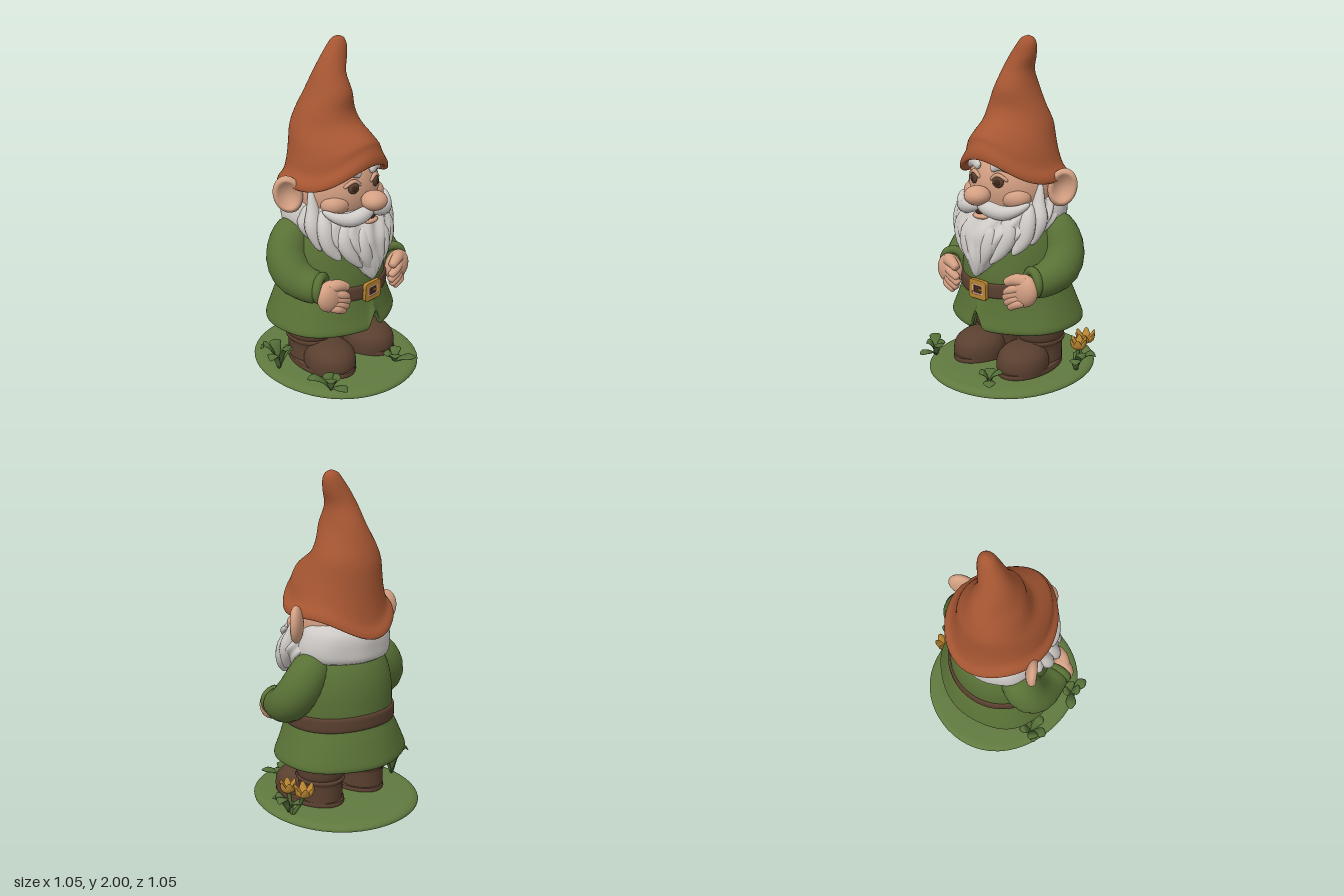
import * as THREE from 'three';

const mat = (name, color, side = THREE.FrontSide) => {
  const m = new THREE.MeshStandardMaterial({ color, side });
  m.name = name;
  return m;
};

// Catmull-Rom interpolation through rows of numbers
function spline(rows, t) {
  const f = t * (rows.length - 1), i = Math.min(Math.floor(f), rows.length - 2), u = f - i;
  const at = k => rows[Math.max(0, Math.min(rows.length - 1, k))];
  return rows[i].map((_, k) => {
    const a = at(i - 1)[k], b = at(i)[k], c = at(i + 1)[k], d = at(i + 2)[k];
    return b + 0.5 * u * (c - a + u * (2 * a - 5 * b + 4 * c - d + u * (3 * (b - c) + d - a)));
  });
}

// Surface of closed rings: fn(t, angle) gives each point
function ringSurface(nt, na, fn) {
  const pos = [], idx = [];
  for (let i = 0; i <= nt; i++)
    for (let j = 0; j < na; j++) pos.push(...fn(i / nt, (j / na) * Math.PI * 2));
  for (let i = 0; i < nt; i++)
    for (let j = 0; j < na; j++) {
      const k = (j + 1) % na, a = i * na + j, b = i * na + k, c = a + na, d = b + na;
      idx.push(a, b, d, a, d, c);
    }
  const g = new THREE.BufferGeometry();
  g.setAttribute('position', new THREE.Float32BufferAttribute(pos, 3));
  g.setIndex(idx);
  g.computeVertexNormals();
  return g;
}

// Rows: y, centre x, centre z, radius x, radius z, front tilt. warp gives [radius factor, y shift]
function loft(rows, warp = () => [1, 0], na = 56) {
  return ringSurface((rows.length - 1) * 4, na, (t, a) => {
    const [y, cx, cz, rx, rz, tilt = 0] = spline(rows, t), c = Math.cos(a);
    const [f, dy] = warp(a, y), lift = 0.05 - 0.15 * c + 0.08 * c * c + 1.2 * c ** 3;
    return [cx + Math.sin(a) * Math.max(rx, 0) * f, y + tilt * lift + dy, cz + c * Math.max(rz, 0) * f];
  });
}

// Round-ended tube. Rows: x, y, z, radius; flat thins it along the up direction
function taper(rows, flat = 1, up = [0, 0, 1], na = 14) {
  const ref = new THREE.Vector3(...up);
  return ringSurface(18, na, (s, a) => {
    const t = (1 - Math.cos(Math.PI * s)) / 2, e = Math.min(1, Math.min(t, 1 - t) / 0.12);
    const [x, y, z, r0] = spline(rows, t), r = Math.max(r0, 0) * Math.sqrt(1 - (1 - e) ** 2);
    const q = spline(rows, Math.min(1, t + 0.01)), p = spline(rows, Math.max(0, t - 0.01));
    const T = new THREE.Vector3(q[0] - p[0], q[1] - p[1], q[2] - p[2]).normalize();
    const N = ref.clone().addScaledVector(T, -ref.dot(T)).normalize();
    const B = new THREE.Vector3().crossVectors(T, N);
    return new THREE.Vector3(x, y, z).addScaledVector(B, Math.sin(a) * r).addScaledVector(N, Math.cos(a) * r * flat).toArray();
  });
}

export function createModel() {
  const M = {
    hat: mat('hat rust', 0xa65632, THREE.DoubleSide), coat: mat('coat green', 0x597136), grass: mat('grass green', 0x60793f),
    leaf: mat('leaf green', 0x546f38), skin: mat('skin', 0xd4a083), hair: mat('hair white', 0xd0ccc8),
    brown: mat('boot brown', 0x593f2f), gold: mat('gold yellow', 0xb78430), dark: mat('dark brown', 0x3f271c),
    soil: mat('underside olive', 0x5c7218),
  };
  const root = new THREE.Group();
  const add = (name, geo, m, parent = root) => {
    const mesh = new THREE.Mesh(geo, m);
    mesh.name = name;
    parent.add(mesh);
    return mesh;
  };
  const group = (name, x = 0, y = 0, z = 0) => {
    const g = new THREE.Group();
    g.name = name;
    g.position.set(x, y, z);
    root.add(g);
    return g;
  };
  const ball = (name, m, p, r, parent) => {
    const b = add(name, new THREE.SphereGeometry(1, 28, 18), m, parent);
    b.position.set(...p);
    b.scale.set(...r);
    return b;
  };
  const flip = (s, rows) => rows.map(([x, ...rest]) => [s * x, ...rest]);

  // Ground
  add('ground', loft([[0, -0.01, 0, 0.48, 0.525], [0.012, -0.01, 0, 0.48, 0.525], [0.028, -0.01, 0, 0.462, 0.51],
    [0.038, -0.01, 0, 0.41, 0.46], [0.045, -0.01, 0, 0.2, 0.2], [0.045, -0.01, 0, 0, 0]],
  a => [1.01 - 0.01 * Math.cos(4 * a), 0]), M.grass);
  const under = add('groundUnderside', new THREE.CircleGeometry(1, 56), M.soil);
  under.rotation.x = Math.PI / 2;
  under.position.x = -0.01;
  under.scale.set(0.482, 0.527, 1);

  // Coat with a flared, slit skirt
  add('coat', loft([[0.38, -0.01, -0.045, 0, 0], [0.36, -0.01, -0.045, 0.34, 0.3], [0.315, -0.01, -0.045, 0.4, 0.355],
    [0.335, -0.01, -0.045, 0.415, 0.372], [0.4, -0.01, -0.045, 0.39, 0.355], [0.48, -0.01, -0.04, 0.355, 0.335],
    [0.56, -0.01, -0.03, 0.325, 0.315], [0.64, -0.01, -0.03, 0.325, 0.315], [0.75, -0.01, -0.035, 0.32, 0.305],
    [0.85, -0.01, -0.035, 0.3, 0.285], [0.93, -0.01, -0.03, 0.265, 0.25], [1, -0.01, -0.03, 0.2, 0.18], [1.03, -0.01, -0.03, 0, 0]],
  (a, y) => {
    const low = Math.max(0, Math.min(1, (0.52 - y) / 0.2)), d = Math.min(a, 2 * Math.PI - a);
    return [1 + 0.01 * low * Math.cos(6 * a), 0.11 * low * Math.exp(-((d / 0.07) ** 2))];
  }, 128), M.coat);

  // Belt and buckle
  add('belt', loft([[0.535, -0.01, -0.03, 0.3, 0.29, -0.015], [0.532, -0.01, -0.03, 0.335, 0.325, -0.015],
    [0.575, -0.01, -0.03, 0.34, 0.33, -0.015], [0.615, -0.01, -0.03, 0.335, 0.325, -0.015], [0.615, -0.01, -0.03, 0.3, 0.29, -0.015]]), M.brown);
  const rect = (Path, w, h, r) => {
    const p = new Path();
    p.absarc(w - r, h - r, r, 0, Math.PI / 2);
    p.absarc(r - w, h - r, r, Math.PI / 2, Math.PI);
    p.absarc(r - w, r - h, r, Math.PI, Math.PI * 1.5);
    p.absarc(w - r, r - h, r, Math.PI * 1.5, Math.PI * 2);
    p.closePath();
    return p;
  };
  const ring = (w, h, t) => {
    const shape = rect(THREE.Shape, w, h, 0.018);
    shape.holes.push(rect(THREE.Path, w - t, h - t, 0.01));
    return new THREE.ExtrudeGeometry(shape, { depth: 0.016, bevelSize: 0.004, bevelThickness: 0.005, bevelSegments: 2, curveSegments: 6 });
  };
  const buckle = group('buckle', -0.012, 0.556, 0.292);
  add('buckleFrame', ring(0.064, 0.054, 0.019), M.gold, buckle);
  add('buckleLining', ring(0.045, 0.036, 0.01), M.skin, buckle).position.z = -0.003;
  add('bucklePlate', new THREE.BoxGeometry(0.08, 0.065, 0.02), M.dark, buckle).position.z = 0.004;
  add('bucklePin', new THREE.BoxGeometry(0.035, 0.01, 0.012), M.gold, buckle).position.set(0.02, 0, 0.014);

  // Legs and boots, arms and hands
  ball('trouserSeat', M.brown, [-0.005, 0.41, -0.065], [0.3, 0.1, 0.18], root);
  for (const s of [1, -1]) {
    const side = s > 0 ? 'left' : 'right';
    const leg = group(side + 'Leg', s * 0.168 - 0.005, 0, 0);
    add('trouserLeg', loft([[0.19, 0, -0.06, 0.1, 0.11], [0.21, 0, -0.06, 0.132, 0.15], [0.27, 0, -0.06, 0.14, 0.165],
      [0.34, 0, -0.065, 0.148, 0.175], [0.42, 0, -0.065, 0.15, 0.175]], undefined, 36), M.brown, leg);
    add('bootShaft', loft([[0.05, 0, -0.05, 0.13, 0.155], [0.13, 0, -0.06, 0.125, 0.145], [0.175, 0, -0.06, 0.127, 0.148],
      [0.19, 0, -0.06, 0.138, 0.16], [0.208, 0, -0.06, 0.136, 0.157], [0.213, 0, -0.06, 0.1, 0.12]], undefined, 36), M.brown, leg);
    const foot = group(side + 'Boot', s * 0.168 - 0.005, 0, 0);
    foot.rotation.y = s * 0.06;
    add('bootToe', loft([[0.05, 0, 0.115, 0.148, 0.168], [0.1, 0, 0.115, 0.15, 0.17], [0.15, 0, 0.115, 0.138, 0.153],
      [0.19, 0, 0.105, 0.1, 0.115], [0.207, 0, 0.1, 0.055, 0.06], [0.21, 0, 0.1, 0, 0]], undefined, 36), M.brown, foot);
    add('bootSole', loft([[0.03, 0, 0.04, 0.145, 0.245], [0.045, 0, 0.04, 0.156, 0.257], [0.065, 0, 0.04, 0.154, 0.255],
      [0.072, 0, 0.04, 0.135, 0.23], [0.072, 0, 0.04, 0, 0]], undefined, 36), M.brown, foot);

    const arm = group(side + 'Arm', -0.01, 0, 0);
    add('sleeve', taper(flip(s, [[0.22, 0.95, -0.08, 0.09], [0.28, 0.87, -0.09, 0.115], [0.335, 0.77, -0.07, 0.122],
      [0.355, 0.685, 0.0, 0.118], [0.335, 0.64, 0.1, 0.1], [0.3, 0.635, 0.19, 0.095]]), 1, [0, 1, 0.4], 28), M.coat, arm);
    const cuff = add('cuff', new THREE.TorusGeometry(0.068, 0.026, 12, 28), M.coat, arm);
    cuff.position.set(s * 0.312, 0.638, 0.185);
    cuff.rotation.y = -s * 0.4;
    ball('palm', M.skin, [s * 0.292, 0.6, 0.24], [0.092, 0.098, 0.056], arm).rotation.z = -s * 0.3;
    [[0.185, 0.57], [0.18, 0.54], [0.192, 0.512], [0.218, 0.492]].forEach(([x, y], i) =>
      add('finger', taper(flip(s, [[0.3, 0.625 - 0.03 * i, 0.255, 0.028], [x + 0.055, y + 0.035, 0.283, 0.027], [x, y, 0.28, 0.021]])), M.skin, arm));
    add('thumb', taper(flip(s, [[0.31, 0.655, 0.24, 0.04], [0.255, 0.665, 0.27, 0.034], [0.19, 0.635, 0.285, 0.023]])), M.skin, arm);
  }

  // Head and face
  const head = group('head', -0.01, 0, 0);
  ball('face', M.skin, [0, 1.15, -0.01], [0.27, 0.27, 0.26], head);
  ball('nose', M.skin, [0, 1.12, 0.305], [0.078, 0.057, 0.075], head);
  ball('mouth', M.dark, [0, 1.022, 0.278], [0.036, 0.018, 0.025], head);
  ball('lowerLip', M.skin, [0, 0.995, 0.278], [0.055, 0.018, 0.032], head);
  const earGeo = new THREE.SphereGeometry(1, 28, 28);
  const ep = earGeo.attributes.position;
  for (let i = 0; i < ep.count; i++) {
    const r = Math.hypot(ep.getX(i), ep.getY(i)), z = ep.getZ(i);
    if (z > 0) ep.setZ(i, z - 1.25 * Math.max(0, 1 - (r / 0.78) ** 2));
  }
  earGeo.computeVertexNormals();
  for (const s of [1, -1]) {
    ball('cheek', M.skin, [s * 0.14, 1.1, 0.135], [0.1, 0.07, 0.085], head);
    const eye = ball('eye', M.brown, [s * 0.092, 1.198, 0.23], [0.034, 0.034, 0.018], head);
    eye.rotation.y = s * 0.35;
    ball('pupil', M.dark, [0, 0, 0.75], [0.55, 0.55, 0.4], eye);
    add('upperEyelid', taper(flip(s, [[0.04, 1.205, 0.238, 0.009], [0.09, 1.238, 0.23, 0.012], [0.145, 1.205, 0.206, 0.009]])), M.skin, head);
    add('eyebrow', taper(flip(s, [[0.045, 1.265, 0.238, 0.02], [0.1, 1.292, 0.222, 0.03], [0.17, 1.252, 0.19, 0.014]]), 0.7), M.hair, head);
    const ear = add('ear', earGeo, M.skin, head);
    ear.position.set(s * 0.335, 1.155, -0.05);
    ear.scale.set(0.084, 0.112, 0.042);
    ear.rotation.set(0, s * 0.75, -s * 0.22);
    // Moustache, sideburns and beard locks
    add('moustache', taper(flip(s, [[-0.01, 1.065, 0.275, 0.028], [0.07, 1.05, 0.287, 0.044], [0.15, 1.03, 0.255, 0.042],
      [0.22, 1.05, 0.205, 0.028], [0.26, 1.085, 0.15, 0.012]])), M.hair, head);
    for (const rows of [
      [[0.25, 1.19, 0.05, 0.018], [0.262, 1.08, 0.075, 0.04], [0.278, 0.97, 0.1, 0.058], [0.262, 0.84, 0.14, 0.018]],
      [[0.22, 1.07, 0.12, 0.035], [0.245, 0.98, 0.16, 0.058], [0.245, 0.88, 0.19, 0.05], [0.2, 0.79, 0.235, 0.015]],
      [[0.14, 1.0, 0.22, 0.04], [0.17, 0.91, 0.24, 0.06], [0.15, 0.82, 0.27, 0.045], [0.09, 0.73, 0.3, 0.012]],
      [[0.05, 0.97, 0.26, 0.03], [0.08, 0.9, 0.29, 0.05], [0.07, 0.8, 0.31, 0.045], [0.025, 0.69, 0.315, 0.012]],
    ]) add('beardLock', taper(flip(s, rows), 0.8), M.hair, head);
  }
  add('beard', loft([[0.63, -0.01, 0.315, 0, 0], [0.67, -0.01, 0.29, 0.045, 0.045], [0.75, 0, 0.25, 0.115, 0.1],
    [0.83, 0, 0.18, 0.205, 0.165], [0.9, 0, 0.1, 0.28, 0.235], [0.97, 0, 0.05, 0.315, 0.25], [1.03, 0, 0.02, 0.3, 0.24],
    [1.09, 0, 0, 0.26, 0.18], [1.12, 0, 0, 0.15, 0.08]], (a, y) => [1 + 0.03 * Math.sin(16 * a + 5 * Math.sin(9 * y)), 0], 112), M.hair, head);
  add('backHair', loft([[0.91, 0, -0.05, 0.2, 0.18], [0.935, 0, -0.06, 0.285, 0.245], [1.0, 0, -0.07, 0.305, 0.245],
    [1.09, 0, -0.08, 0.285, 0.23], [1.15, 0, -0.07, 0.25, 0.19]], a => [1 + 0.008 * Math.sin(9 * a), 0]), M.hair, head);

  // Drooping pointed hat with a rolled, arched brim
  add('hat', loft([[1.25, -0.01, -0.02, 0.25, 0.265, 0.12], [1.19, -0.01, -0.025, 0.29, 0.305, 0.12], [1.185, -0.01, -0.025, 0.318, 0.328, 0.12],
    [1.22, -0.01, -0.022, 0.314, 0.325, 0.125], [1.27, -0.01, -0.018, 0.278, 0.298, 0.125], [1.35, -0.015, -0.015, 0.254, 0.28, 0.09],
    [1.43, -0.02, -0.035, 0.23, 0.25, 0.05], [1.51, -0.022, -0.065, 0.202, 0.21, 0.02], [1.6, -0.025, -0.065, 0.165, 0.175, 0],
    [1.7, -0.018, -0.05, 0.122, 0.15, 0], [1.8, -0.008, -0.05, 0.093, 0.1, 0], [1.88, 0.025, -0.05, 0.083, 0.072, 0],
    [1.945, 0.053, -0.05, 0.063, 0.053, 0], [1.985, 0.062, -0.05, 0.038, 0.032, 0], [2, 0.065, -0.05, 0, 0, 0]],
  (a, y) => [1 + 0.02 * Math.sin(3 * a + 14 * y) * Math.max(0, 1 - Math.abs(y - 1.58) / 0.2), 0], 72), M.hat);

  // Leafy plants: x, z, then each leaf as angle, reach, height
  const plant = (x, z, leaves) => {
    const g = group('plant', x, 0.04, z);
    for (const [a, reach, h] of leaves) {
      const dx = Math.sin(a) * reach, dz = Math.cos(a) * reach;
      add('leaf', taper([[0, 0, 0, 0.012], [dx * 0.3, h * 0.65, dz * 0.3, 0.024], [dx * 0.7, h, dz * 0.7, 0.036],
        [dx, h * 0.85, dz, 0.008]], 0.28, [-dx, 0.12, -dz], 12), M.leaf, g);
    }
  };
  plant(-0.42, -0.08, [[-2.1, 0.11, 0.18], [-1.2, 0.11, 0.13], [0, 0.1, 0.17], [1.4, 0.1, 0.12], [2.8, 0.08, 0.16]]);
  plant(-0.37, 0.31, [[-2.3, 0.14, 0.09], [0, 0.13, 0.05], [-0.8, 0.06, 0.09], [1.2, 0.06, 0.08], [2.8, 0.06, 0.08]]);
  plant(0.13, 0.37, [[0.75, 0.13, 0.03], [-0.8, 0.06, 0.06], [2.2, 0.08, 0.06], [-2.6, 0.07, 0.05]]);
  plant(0.42, -0.08, [[2, 0.12, 0.12], [0.6, 0.1, 0.09], [1.2, 0.08, 0.12], [-2.8, 0.09, 0.08]]);

  // Yellow cup flowers on stems
  for (const [x, y, z, r] of [[0.4, 0.175, -0.2, 0.045], [0.43, 0.175, -0.09, 0.036]]) {
    const g = group('flower');
    add('stem', taper([[0.41, 0.03, -0.1, 0.012], [x - 0.01, 0.11, (z - 0.1) / 2, 0.011], [x, y + 0.02, z, 0.012]], 1, [0, 0.2, 1]), M.leaf, g);
    for (let i = 0; i < 6; i++) {
      const c = Math.cos(i * Math.PI / 3), d = Math.sin(i * Math.PI / 3);
      add('petal', taper([[x, y, z, 0.014], [x + c * r * 0.85, y + 0.025, z + d * r * 0.85, 0.029],
        [x + c * r * 1.35, y + 0.072, z + d * r * 1.35, 0.008]], 0.45, [-c, 0.5, -d], 10), M.gold, g);
    }
  }
  return root;
}
